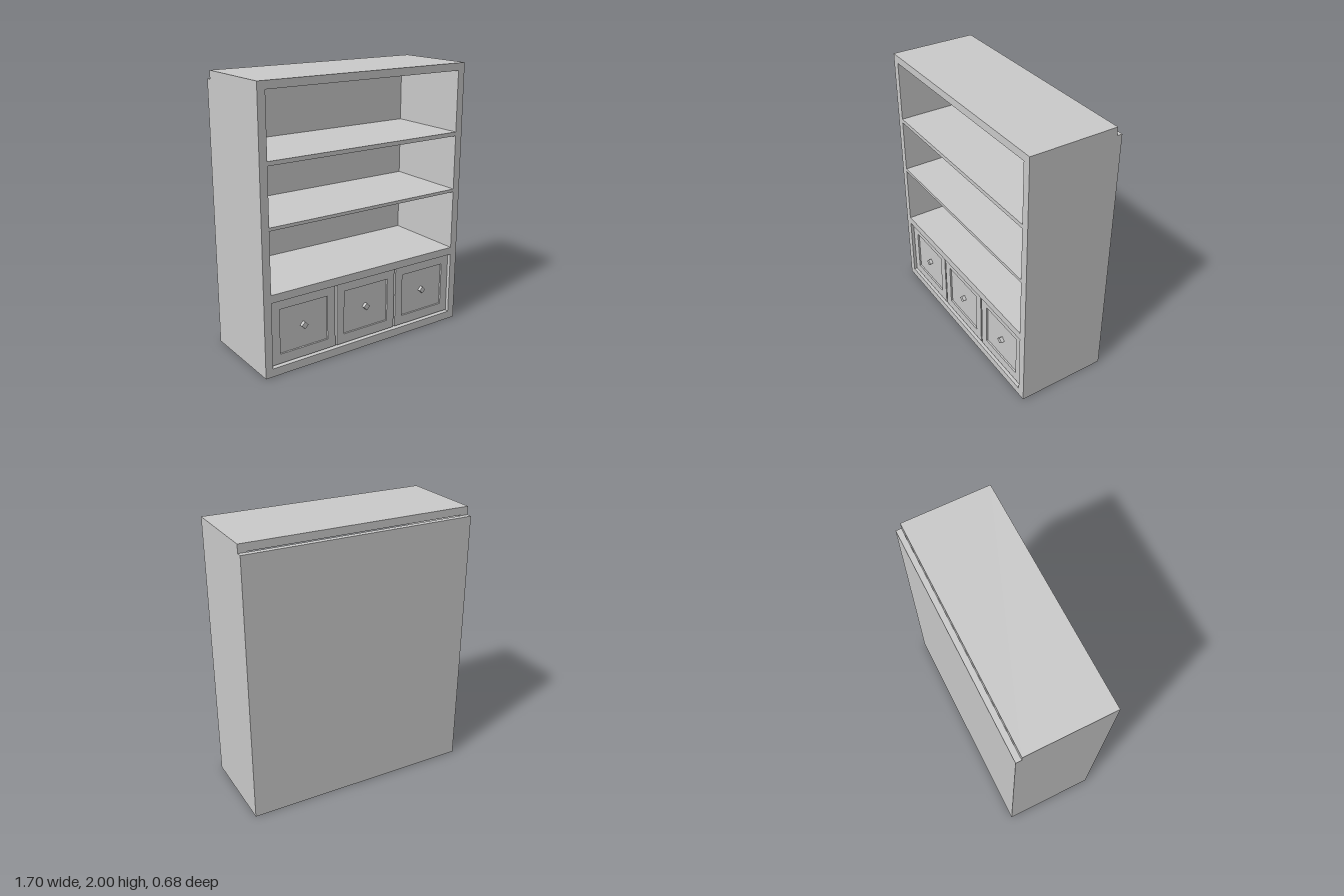
import * as THREE from 'three';

const material = new THREE.MeshStandardMaterial({ color: 0xcccccc, flatShading: true });

function rect(path, x0, y0, x1, y1) {
  path.moveTo(x0, y0);
  path.lineTo(x1, y0);
  path.lineTo(x1, y1);
  path.lineTo(x0, y1);
  path.closePath();
  return path;
}

// Rectangular slab with rectangular openings, from z = back to z = front
function framedSlab(name, outer, openings, back, front) {
  const shape = rect(new THREE.Shape(), ...outer);
  shape.holes = openings.map((o) => rect(new THREE.Path(), ...o));
  const geometry = new THREE.ExtrudeGeometry(shape, { depth: front - back, bevelEnabled: false });
  geometry.translate(0, 0, back);
  const mesh = new THREE.Mesh(geometry, material);
  mesh.name = name;
  return mesh;
}

function box(name, w, h, d, x, y, z) {
  const mesh = new THREE.Mesh(new THREE.BoxGeometry(w, h, d), material);
  mesh.name = name;
  mesh.position.set(x, y, z);
  return mesh;
}

export function createModel() {
  const model = new THREE.Group();
  model.name = 'bookcase';

  // Carcass: sides, top, shelves and base around four bays
  const bays = [[0.06, 0.54], [0.597, 1.04], [1.063, 1.468], [1.498, 1.945]];
  const openings = bays.map(([y0, y1]) => [-0.793, y0, 0.793, y1]);
  model.add(framedSlab('carcass', [-0.85, 0, 0.85, 2], openings, -0.3, 0.34));

  // Back panel, stopping short of the top
  model.add(box('backPanel', 1.7, 1.94, 0.04, 0, 0.97, -0.32));

  // Three inset doors with recessed panels and diamond knobs
  for (const x of [-0.528, 0, 0.528]) {
    const door = new THREE.Group();
    door.name = 'door';
    door.position.set(x, 0.3, 0.32);
    door.add(framedSlab('doorFrame', [-0.257, -0.23, 0.257, 0.23],
      [[-0.193, -0.16, 0.193, 0.17]], -0.03, 0));
    door.add(box('doorPanel', 0.386, 0.33, 0.015, 0, 0.005, -0.0205));
    const knob = box('knob', 0.038, 0.038, 0.025, 0, 0.005, -0.0005);
    knob.rotation.z = Math.PI / 4;
    door.add(knob);
    model.add(door);
  }
  return model;
}
